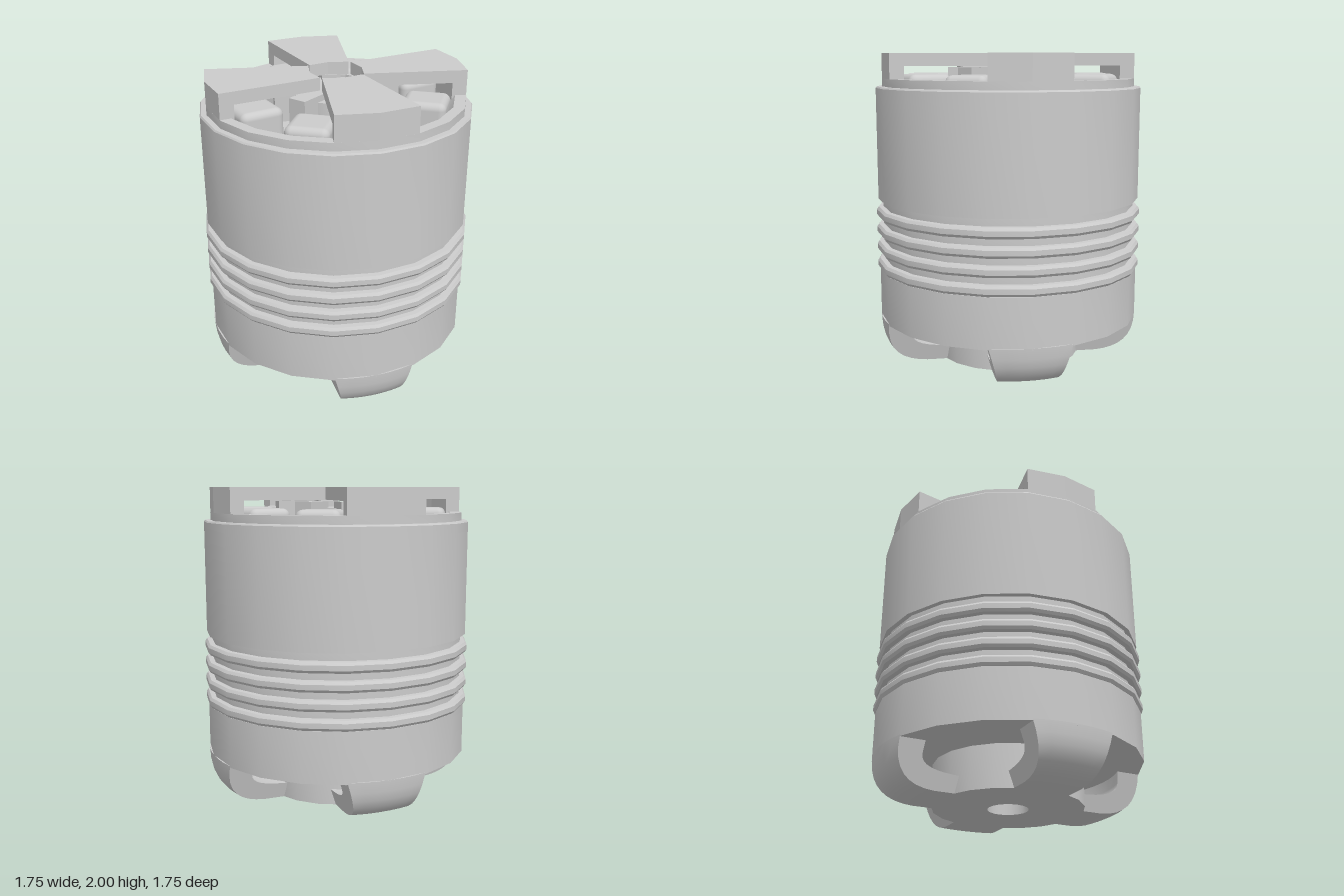
import * as THREE from 'three';
import { toCreasedNormals } from 'three/addons/utils/BufferGeometryUtils.js';
import { RoundedBoxGeometry } from 'three/addons/geometries/RoundedBoxGeometry.js';

const material = new THREE.MeshStandardMaterial({ color: 0xcccccc });
const SIDES = 20;

function part(name, geometry, parent) {
  const mesh = new THREE.Mesh(geometry, material);
  mesh.name = name;
  parent.add(mesh);
  return mesh;
}

// Revolved part; the profile runs up the outside and down the inside
function lathe(points) {
  const g = new THREE.LatheGeometry(points.map(([x, y]) => new THREE.Vector2(x, y)), SIDES);
  return toCreasedNormals(g, 0.6);
}

// Horizontal plate from y0 to y1
function plate(points, y0, y1) {
  const shape = new THREE.Shape(points.map(([x, y]) => new THREE.Vector2(x, y)));
  const g = new THREE.ExtrudeGeometry(shape, { depth: y1 - y0, bevelEnabled: false });
  return g.rotateX(-Math.PI / 2).translate(0, y0, 0);
}

// Curved foot: a radial section extruded sideways, tapered downward and wrapped round the axis
function footGeometry() {
  const s = new THREE.Shape();
  s.moveTo(0.44, 0);
  s.lineTo(0.6, 0);
  s.bezierCurveTo(0.76, 0.01, 0.86, 0.08, 0.86, 0.28);
  s.lineTo(0.71, 0.28);
  s.lineTo(0.71, 0.2);
  s.bezierCurveTo(0.71, 0.13, 0.62, 0.105, 0.44, 0.1);
  const g = new THREE.ExtrudeGeometry(s, { depth: 2, steps: 6, curveSegments: 8, bevelEnabled: false });
  g.translate(0, 0, -1);
  const p = g.attributes.position;
  for (let i = 0; i < p.count; i++) {
    const r = p.getX(i), y = p.getY(i);
    const z = p.getZ(i) * (0.18 + 0.28 * y);
    p.setXYZ(i, Math.sqrt(r * r - z * z), y, z);
  }
  return toCreasedNormals(g, 0.6);
}

export function createModel() {
  const model = new THREE.Group();
  model.name = 'motor';

  // Lower housing with four rounded ribs
  const housing = [[0.4, 0.27], [0.86, 0.27], [0.86, 0.595]];
  for (let i = 0; i < 4; i++) {
    const y = 0.63 + i * 0.115;
    housing.push([0.83, y - 0.035], [0.862, y - 0.033], [0.875, y - 0.016],
      [0.875, y + 0.016], [0.862, y + 0.033], [0.83, y + 0.035]);
  }
  housing.push([0.83, 1.07]);
  part('ribbedHousing', lathe(housing), model);

  // Upper bell, open at the top with a stepped rim
  part('bell', lathe([[0.8, 1.06], [0.862, 1.06], [0.862, 1.78], [0.855, 1.79], [0.82, 1.79],
    [0.82, 1.84], [0.75, 1.84], [0.72, 1.8], [0.72, 1.5], [0, 1.5]]), model);

  // Base hub with a blind shaft hole
  part('baseHub', lathe([[0, 0.4], [0.13, 0.4], [0.13, 0], [0.48, 0], [0.48, 0.28]]), model);

  // Four feet and four top arms
  const foot = footGeometry();
  const armTop = plate([[0.14, -0.13], [0.78, -0.25], [0.82, 0], [0.78, 0.25], [0.14, 0.13], [0.17, 0]], 1.92, 2);
  const armLeg = plate([[0.69, -0.233], [0.78, -0.25], [0.82, 0], [0.78, 0.25], [0.69, 0.233], [0.71, 0]], 1.79, 1.92);
  for (let i = 0; i < 4; i++) {
    const turn = i * Math.PI / 2;
    part('foot', foot, model).rotation.y = turn;
    const arm = new THREE.Group();
    arm.name = 'topArm';
    arm.rotation.y = turn;
    part('armTop', armTop, arm);
    part('armLeg', armLeg, arm);
    model.add(arm);
  }

  // Stator: central hub, eight wound coils and the teeth between them
  const stator = new THREE.Group();
  stator.name = 'stator';
  stator.rotation.y = THREE.MathUtils.degToRad(14);
  model.add(stator);
  part('statorHub', lathe([[0.27, 1.5], [0.27, 1.87], [0, 1.87]]), stator);
  const coil = new RoundedBoxGeometry(0.28, 0.5, 0.27, 3, 0.045).translate(0.57, 1.62, 0);
  const core = new THREE.BoxGeometry(0.3, 0.2, 0.16).translate(0.35, 1.6, 0);
  const tooth = new THREE.BoxGeometry(0.2, 0.41, 0.12).translate(0.29, 1.705, 0);
  for (let i = 0; i < 8; i++) {
    const turn = i * Math.PI / 4;
    part('coil', coil, stator).rotation.y = turn;
    part('coilCore', core, stator).rotation.y = turn;
    part('statorTooth', tooth, stator).rotation.y = turn + Math.PI / 8;
  }
  return model;
}
